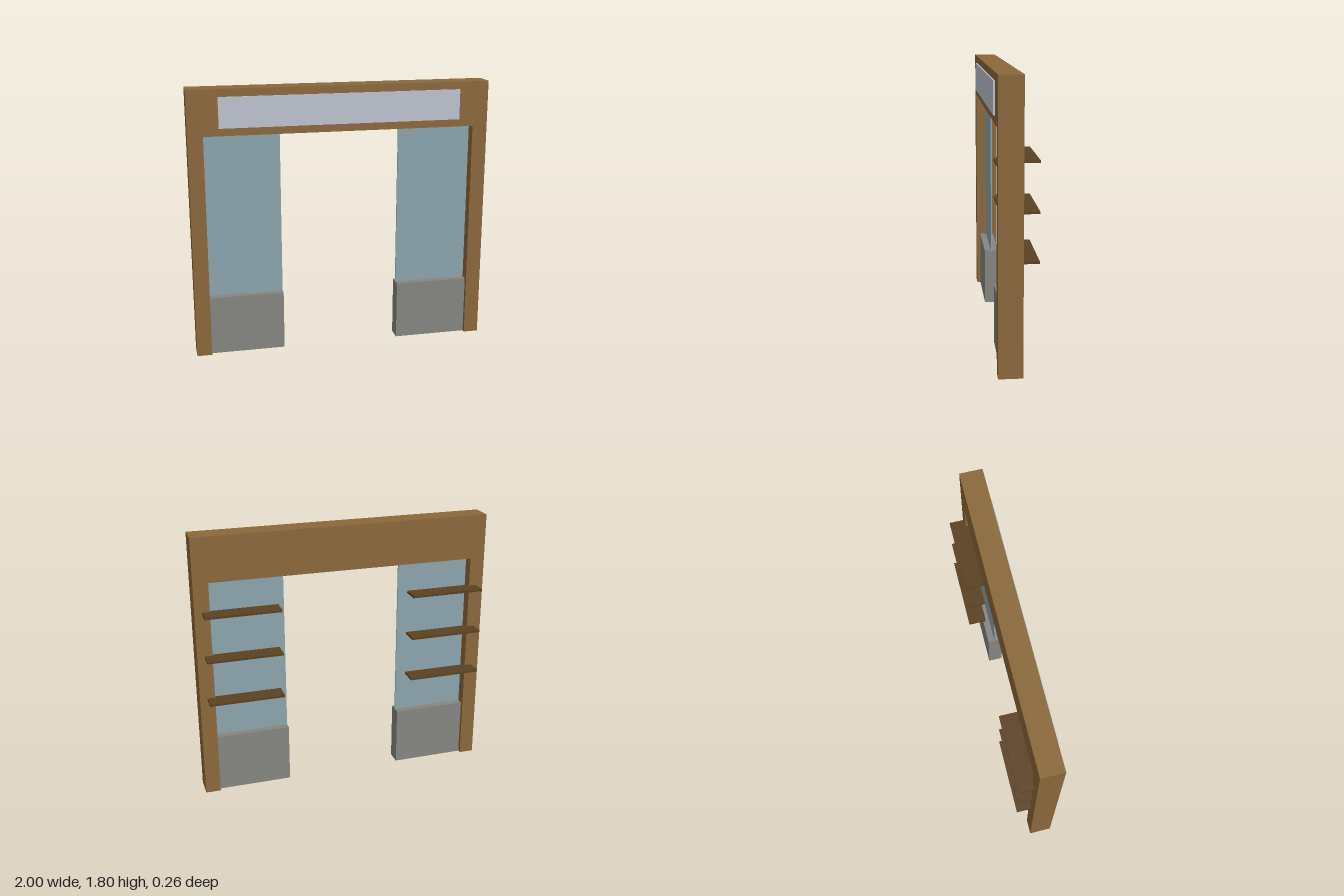
import * as THREE from 'three';

export function createModel() {
  const model = new THREE.Group();
  model.name = 'storefront';

  const material = (name, color) => {
    const m = new THREE.MeshStandardMaterial({ color });
    m.name = name;
    return m;
  };
  const wood = material('wood', 0x8b683b);
  const darkWood = material('dark wood', 0x5b4122);
  const glass = material('glass', 0x8ca5ac);
  const stone = material('stone', 0x858581);
  const panel = material('sign panel', 0xbcc2ce);

  // Box given by its minimum and maximum corners
  const addBox = (name, mat, [x0, y0, z0], [x1, y1, z1]) => {
    const mesh = new THREE.Mesh(new THREE.BoxGeometry(x1 - x0, y1 - y0, z1 - z0), mat);
    mesh.position.set((x0 + x1) / 2, (y0 + y1) / 2, (z0 + z1) / 2);
    mesh.name = name;
    model.add(mesh);
  };

  // Frame: two posts and a deep header in one piece
  const outline = new THREE.Shape([
    [-1, 0], [-0.9, 0], [-0.9, 1.5], [0.9, 1.5], [0.9, 0], [1, 0], [1, 1.8], [-1, 1.8],
  ].map(([x, y]) => new THREE.Vector2(x, y)));
  const frame = new THREE.Mesh(
    new THREE.ExtrudeGeometry(outline, { depth: 0.15, bevelEnabled: false }), wood);
  frame.position.z = -0.03;
  frame.name = 'frame';
  model.add(frame);

  // Blank sign panel on the header
  addBox('signPanel', panel, [-0.8, 1.55, 0.11], [0.8, 1.75, 0.13]);

  // Low wall, window and display shelves on each side of the doorway
  for (const [side, s] of [['left', 1], ['right', -1]]) {
    const addSide = (name, mat, x0, x1, y0, y1, z0, z1) =>
      addBox(side + name, mat,
        [Math.min(s * x0, s * x1), y0, z0], [Math.max(s * x0, s * x1), y1, z1]);
    addSide('LowWall', stone, 0.4, 0.95, 0, 0.4, -0.005, 0.095);
    addSide('Window', glass, 0.4, 0.92, 0.39, 1.51, 0.04, 0.05);
    [0.7, 1.0, 1.3].forEach((y, i) =>
      addSide('Shelf' + (i + 1), darkWood, 0.45, 0.95, y - 0.0075, y + 0.0075, -0.13, -0.01));
  }

  return model;
}
